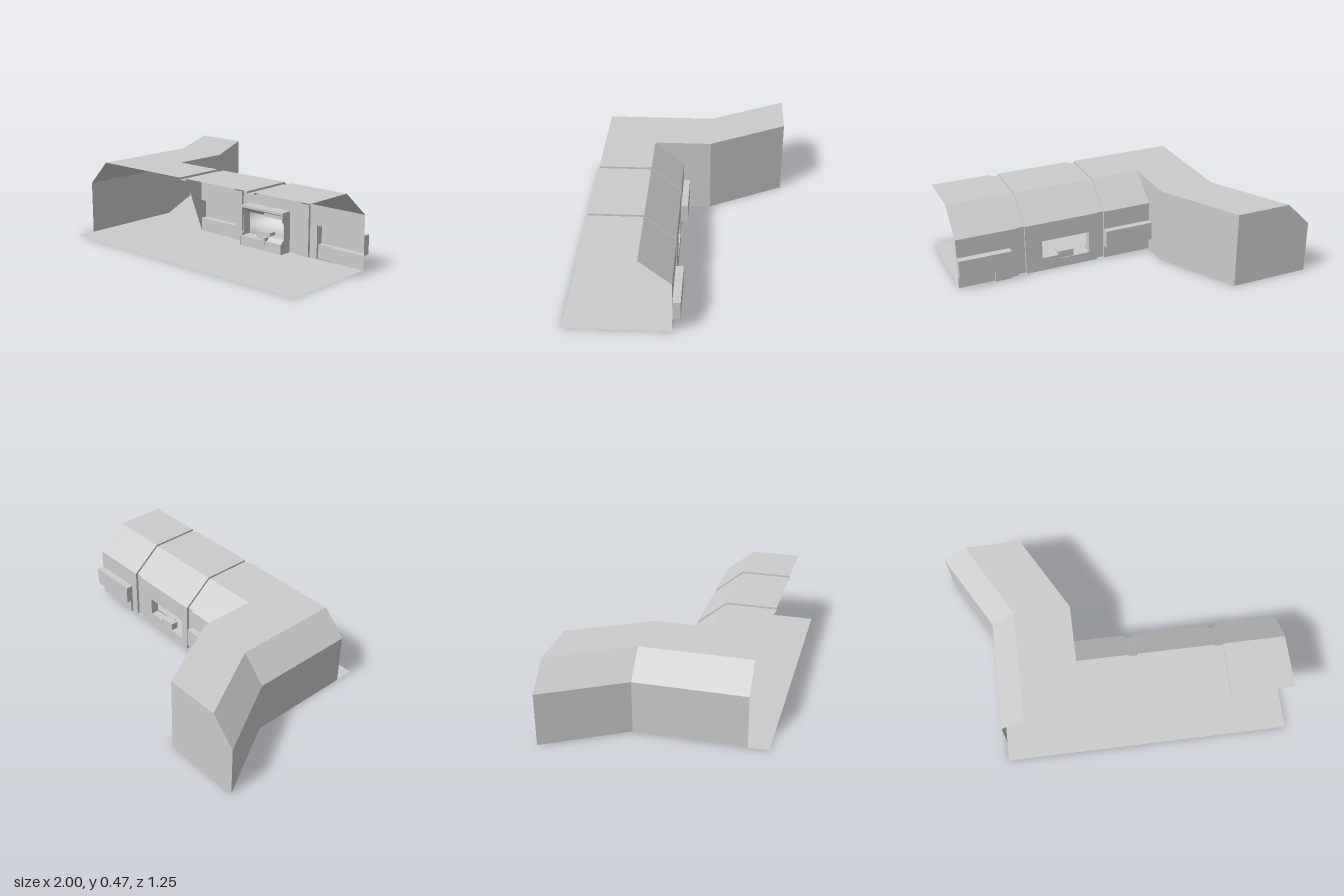
import * as THREE from 'three';

const material = new THREE.MeshStandardMaterial({ color: 0xcccccc, side: THREE.DoubleSide, flatShading: true });

// One mesh from convex polygons, each a loop of [x, y, z] corners
function faces(name, polygons) {
  const pos = [];
  for (const p of polygons)
    for (let i = 1; i < p.length - 1; i++) pos.push(...p[0], ...p[i], ...p[i + 1]);
  const g = new THREE.BufferGeometry();
  g.setAttribute('position', new THREE.Float32BufferAttribute(pos, 3));
  g.computeVertexNormals();
  const m = new THREE.Mesh(g, material);
  m.name = name;
  return m;
}

// Sweeps a [z, y] profile along x from x0 to x1
function sweep(profile, x0, x1) {
  return profile.slice(1).map(([z, y], i) => {
    const [pz, py] = profile[i];
    return [[x0, py, pz], [x1, py, pz], [x1, y, z], [x0, y, z]];
  });
}

// Narrow step joining two profiles in the plane x
function step(a, b, x) {
  return a.slice(1).map((p, i) => [a[i], p, b[i + 1], b[i]].map(([z, y]) => [x, y, z]));
}

// Solid prism along x from a closed [z, y] outline
function prism(name, outline, x0, x1) {
  const shape = new THREE.Shape(outline.map(([z, y]) => new THREE.Vector2(-z, y)));
  const g = new THREE.ExtrudeGeometry(shape, { depth: x1 - x0, bevelEnabled: false });
  g.rotateY(Math.PI / 2).translate(x0, 0, 0);
  const m = new THREE.Mesh(g, material);
  m.name = name;
  return m;
}

function box(name, x0, x1, y0, y1, z0, z1) {
  const m = new THREE.Mesh(new THREE.BoxGeometry(x1 - x0, y1 - y0, z1 - z0), material);
  m.position.set((x0 + x1) / 2, (y0 + y1) / 2, (z0 + z1) / 2);
  m.name = name;
  return m;
}

export function createModel() {
  const group = new THREE.Group();
  const H = 0.47, S = 0.32, F = 0.505, W = 0.01;

  // Floor of the main hall and the angled branch
  group.add(faces('floor', [
    [[-0.735, 0, 0.625], [1, 0, 0.625], [1, 0, W], [-0.735, 0, W]],
    [[-0.735, 0, W], [-0.25, 0, W], [-0.25, 0, -0.16], [-0.735, 0, -0.16]],
    [[-0.735, 0, -0.16], [-0.25, 0, -0.16], [-0.51, 0, -0.63], [-1, 0, -0.63]],
  ]));

  // Branch: ceiling, sloped shoulder, outer wall, inner wall and end wall
  group.add(faces('branchCeiling', [
    [[-0.59, H, F], [-0.25, H, F], [-0.25, H, -0.16], [-0.59, H, -0.16]],
    [[-0.59, H, -0.16], [-0.25, H, -0.16], [-0.51, H, -0.63], [-0.85, H, -0.63]],
  ]));
  group.add(faces('branchShoulder', [
    [[-0.735, S, F], [-0.59, H, F], [-0.59, H, -0.16], [-0.735, S, -0.16]],
    [[-0.735, S, -0.16], [-0.59, H, -0.16], [-0.85, H, -0.63], [-1, S, -0.63]],
  ]));
  group.add(faces('branchOuterWall', [
    [[-0.735, 0, F], [-0.735, S, F], [-0.735, S, -0.16], [-0.735, 0, -0.16]],
    [[-0.735, 0, -0.16], [-0.735, S, -0.16], [-1, S, -0.63], [-1, 0, -0.63]],
  ]));
  group.add(faces('branchInnerWall', [
    [[-0.25, 0, W], [-0.25, S, W], [-0.25, H, 0.19], [-0.25, H, -0.16], [-0.25, 0, -0.16]],
    [[-0.25, 0, -0.16], [-0.25, H, -0.16], [-0.51, H, -0.63], [-0.51, 0, -0.63]],
  ]));
  group.add(faces('branchEndWall', [
    [[-1, 0, -0.63], [-1, S, -0.63], [-0.85, H, -0.63], [-0.51, H, -0.63], [-0.51, 0, -0.63]],
  ]));

  // Hall shell profiles, from ceiling edge down the back wall
  const top = [[F, H], [0.19, H], [W, S]];
  const plain = [...top, [W, 0]];
  const rib = [[F, 0.458], [0.195, 0.458], [0.026, 0.316], [0.026, 0]];
  const recess = (back, low, foot) =>
    [...top, [W, 0.2], [back, 0.2], [back, low], [foot, low], [foot, 0]];
  const sections = [
    [recess(-0.03, 0.083, W), -0.25, 0.06],
    [plain, 0.11, 0.155],
    [[...top, [W, 0.25]], 0.155, 0.475],
    [plain, 0.475, 0.575],
    [plain, 0.625, 0.675],
    [recess(-0.035, 0.085, -0.005), 0.675, 0.775],
    [recess(-0.035, 0.085, W), 0.775, 1],
  ];
  for (const [p, x0, x1] of sections) group.add(faces('hallShell', sweep(p, x0, x1)));

  // Ribs set inward from the shell
  for (const [x0, x1] of [[0.06, 0.11], [0.575, 0.625]])
    group.add(faces('rib', [...sweep(rib, x0, x1), ...step(plain, rib, x0), ...step(plain, rib, x1)]));

  // End caps of the wall recesses
  const cap = (x, z, y0, y1) => [[x, y0, z], [x, y1, z], [x, y1, W], [x, y0, W]];
  group.add(faces('recessEnds', [
    cap(-0.25, -0.03, 0.083, 0.2), cap(0.06, -0.03, 0.083, 0.2),
    cap(0.675, -0.035, 0.085, 0.2), cap(1, -0.035, 0.085, 0.2),
    cap(0.675, -0.005, 0, 0.085), cap(0.775, -0.005, 0, 0.085),
  ]));

  // Window unit: side cheeks, hood and desk
  const cheek = [[W, 0], [0.094, 0], [0.094, 0.06], [0.064, 0.087], [0.064, 0.178],
    [0.081, 0.205], [0.081, 0.25], [W, 0.25]];
  for (const x of [0.155, 0.469]) group.add(prism('windowCheek', cheek, x, x + 0.006));
  group.add(prism('windowHood', [[W, 0.25], [0.081, 0.25], [0.081, 0.235], [0.03, 0.2], [W, 0.2]], 0.161, 0.469));
  group.add(box('hoodBox', 0.325, 0.465, 0.205, 0.232, 0.02, 0.07));
  group.add(box('desk', 0.161, 0.469, 0, 0.06, W, 0.09));
  group.add(box('deskCentre', 0.265, 0.365, 0, 0.105, 0.015, 0.06));
  group.add(box('deskControl', 0.325, 0.352, 0.035, 0.08, 0.05, 0.094));
  group.add(prism('deskConsole', [[W, 0.055], [0.09, 0.055], [0.09, 0.062], [0.064, 0.085], [W, 0.085]], 0.365, 0.469));
  return group;
}
